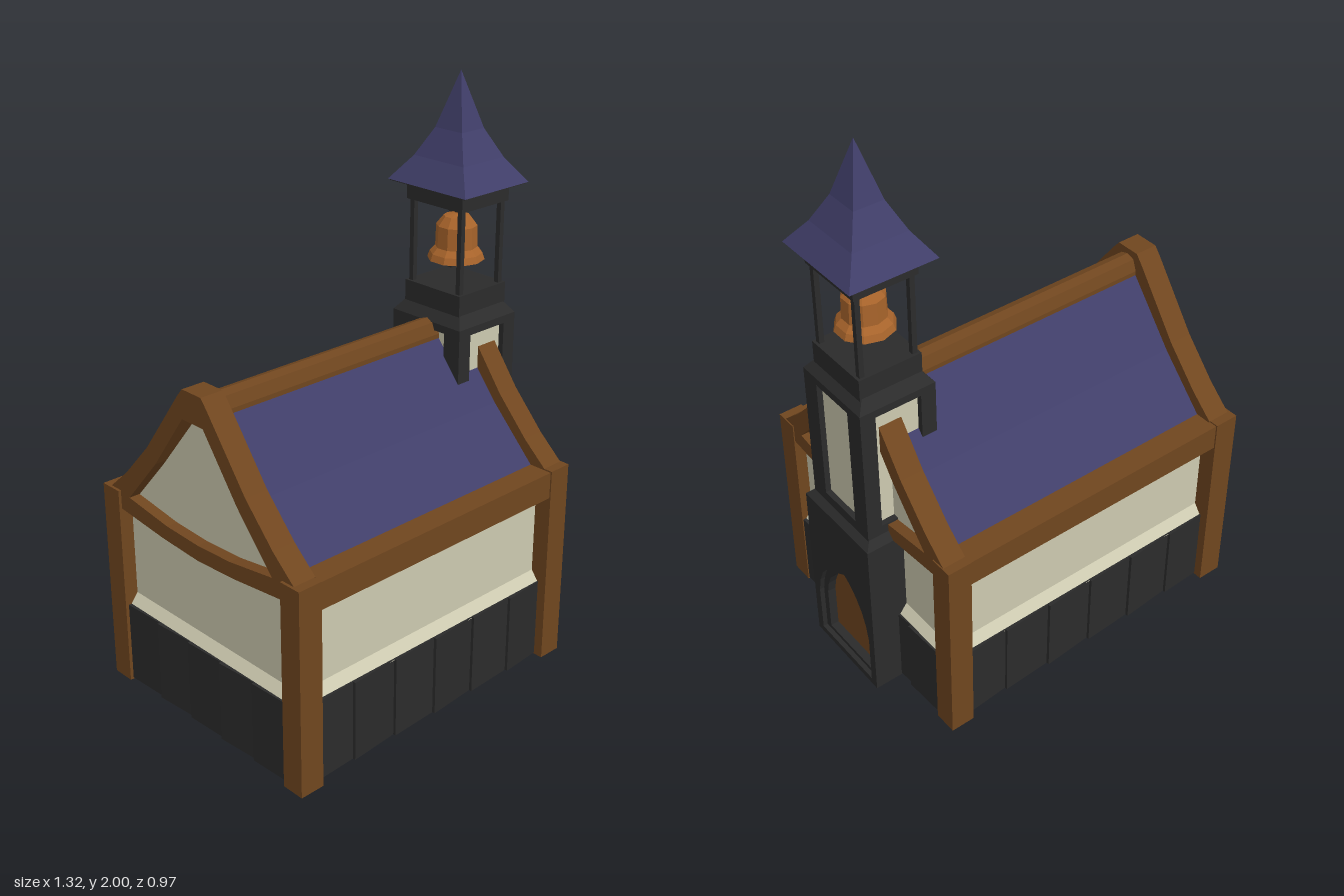
import * as THREE from 'three';

const material = (color) => new THREE.MeshStandardMaterial({ color, flatShading: true });
const timber = material(0x70461f);
const slate = material(0x403e69);
const stone = material(0x2b2b2b);
const plaster = material(0xcdcab0);
const bronze = material(0xa8642b);

export function createModel() {
  const model = new THREE.Group();

  function add(name, geometry, mat, parent = model) {
    const mesh = new THREE.Mesh(geometry, mat);
    mesh.name = name;
    parent.add(mesh);
    return mesh;
  }

  // Box given by its limits on each axis
  function box(name, mat, [x0, x1], [y0, y1], [z0, z1], parent) {
    const mesh = add(name, new THREE.BoxGeometry(x1 - x0, y1 - y0, z1 - z0), mat, parent);
    mesh.position.set((x0 + x1) / 2, (y0 + y1) / 2, (z0 + z1) / 2);
    return mesh;
  }

  // Box whose top is drawn in by an inset on every side
  function taper(name, mat, xs, ys, zs, inset, parent) {
    const mesh = box(name, mat, xs, ys, zs, parent);
    const p = mesh.geometry.attributes.position;
    for (let i = 0; i < p.count; i++) {
      if (p.getY(i) < 0) continue;
      p.setX(i, p.getX(i) - Math.sign(p.getX(i)) * inset);
      p.setZ(i, p.getZ(i) - Math.sign(p.getZ(i)) * inset);
    }
    mesh.geometry.computeVertexNormals();
    return mesh;
  }

  // Mirrored half outline (z, y), listed from bottom centre to top centre
  function mirrored(half) {
    const other = half.filter(([z]) => z > 0).reverse().map(([z, y]) => [-z, y]);
    return [...half, ...other].map(([z, y]) => new THREE.Vector2(z, y));
  }

  // Cross-section in z and y, swept from x0 to x1
  function sweep(name, mat, shape, x0, x1, parent) {
    const g = new THREE.ExtrudeGeometry(shape, { depth: x1 - x0, bevelEnabled: false, curveSegments: 5 });
    g.rotateY(Math.PI / 2).translate(x0, 0, 0);
    return add(name, g, mat, parent);
  }

  // Plastered body with a floor
  const body = [[0, 0.004], [0.42, 0.004], [0.42, 0.66], [0.37, 0.7], [0.21, 0.88], [0.03, 1.1], [0, 1.1]];
  sweep('walls', plaster, new THREE.Shape(mirrored(body)), -0.61, 0.52);
  taper('wallLedge', plaster, [-0.64, 0.55], [0.29, 0.33], [-0.45, 0.45], 0.03);

  // Roof with a slight flare, and ridge beam
  const roof = [[0, 0.68], [0.4, 0.68], [0.4, 0.715], [0.22, 0.9], [0.04, 1.12], [0, 1.13]];
  sweep('roof', slate, new THREE.Shape(mirrored(roof)), -0.58, 0.5);
  const ridge = [[0, 1.08], [0.045, 1.08], [0.045, 1.13], [0.03, 1.17], [0, 1.18]];
  sweep('ridgeBeam', timber, new THREE.Shape(mirrored(ridge)), -0.6, 0.5);

  // Gable frames: curved rafters joined by a sagging tie beam
  const rafters = [[0, 0.63], [0.18, 0.64], [0.42, 0.665], [0.45, 0.73], [0.36, 0.81], [0.24, 0.94], [0.07, 1.17], [0.045, 1.2], [0, 1.2]];
  const opening = [[0, 0.685], [0.156, 0.692], [0.353, 0.72], [0.2, 0.895], [0.05, 1.1], [0, 1.1]];
  for (const [x0, x1] of [[-0.65, -0.565], [0.475, 0.558]]) {
    const frame = new THREE.Shape(mirrored(rafters));
    frame.holes.push(new THREE.Path(mirrored(opening)));
    sweep('gableFrame', timber, frame, x0, x1);
  }

  // Corner posts and eaves beams
  for (const s of [-1, 1]) {
    const zs = s > 0 ? [0.4, 0.483] : [-0.483, -0.4];
    box('cornerPost', timber, [-0.66, -0.57], [0, 0.73], zs);
    box('cornerPost', timber, [0.475, 0.562], [0, 0.73], zs);
    box('eavesBeam', timber, [-0.6, 0.5], [0.63, 0.725], s > 0 ? [0.39, 0.478] : [-0.478, -0.39]);
  }

  // Stone slabs along the foot of the walls, each turned slightly
  function slabs(cuts, turn, place) {
    for (let i = 0; i + 1 < cuts.length; i++) {
      const slab = add('stoneSlab', new THREE.BoxGeometry(cuts[i + 1] - cuts[i], 0.29, 0.06), stone);
      place(slab, (cuts[i] + cuts[i + 1]) / 2);
      slab.rotation.y += turn * (i % 2 ? 0.07 : 0.04);
    }
  }
  const longCuts = [-0.58, -0.415, -0.23, -0.05, 0.135, 0.315, 0.48];
  const endCuts = [-0.405, -0.24, -0.08, 0.08, 0.24, 0.405];
  for (const s of [-1, 1]) {
    slabs(longCuts, 1, (m, c) => m.position.set(c, 0.15, s * 0.425));
    slabs(endCuts, 1, (m, c) => {
      m.position.set(s < 0 ? -0.615 : 0.525, 0.15, c);
      m.rotation.y = Math.PI / 2;
    });
  }

  // Bell tower
  const tower = new THREE.Group();
  tower.name = 'bellTower';
  model.add(tower);

  // Pointed arch outline standing on y0
  function arch(path, half, y0, spring, peak) {
    path.moveTo(-half, y0);
    path.lineTo(half, y0);
    path.lineTo(half, spring);
    path.quadraticCurveTo(half * 0.88, spring + (peak - spring) * 0.7, 0, peak);
    path.quadraticCurveTo(-half * 0.88, spring + (peak - spring) * 0.7, -half, spring);
    path.lineTo(-half, y0);
    return path;
  }

  // Tower base, with a stepped doorway on its outer face
  box('towerBase', stone, [0.35, 0.6], [0, 0.64], [-0.18, 0.18], tower);
  function doorwayLayer(half, y0, peak, x0, x1) {
    const face = new THREE.Shape(mirrored([[0, 0], [0.18, 0], [0.18, 0.64], [0, 0.64]]));
    face.holes.push(arch(new THREE.Path(), half, y0, 0.21, peak));
    sweep('doorSurround', stone, face, x0, x1, tower);
  }
  doorwayLayer(0.125, 0.04, 0.39, 0.6, 0.64);
  doorwayLayer(0.15, 0.025, 0.435, 0.64, 0.657);
  sweep('door', timber, arch(new THREE.Shape(), 0.128, 0.035, 0.21, 0.395), 0.595, 0.61, tower);
  taper('baseCap', stone, [0.35, 0.657], [0.64, 0.665], [-0.18, 0.18], 0.024, tower);

  // Upper stage: stone frame around plaster panels
  box('towerPanels', plaster, [0.375, 0.615], [0.65, 1.16], [-0.135, 0.135], tower);
  for (const z of [[-0.155, -0.085], [0.085, 0.155]]) {
    box('towerPost', stone, [0.357, 0.412], [0.65, 1.17], z, tower);
    box('towerPost', stone, [0.58, 0.635], [0.65, 1.17], z, tower);
  }
  box('towerSill', stone, [0.357, 0.635], [0.65, 0.7], [-0.155, 0.155], tower);
  box('towerHead', stone, [0.357, 0.635], [1.145, 1.172], [-0.155, 0.155], tower);
  taper('towerShoulder', stone, [0.357, 0.635], [1.172, 1.21], [-0.155, 0.155], 0.029, tower);
  box('belfryFloor', stone, [0.384, 0.612], [1.2, 1.28], [-0.126, 0.126], tower);

  // Open belfry
  for (const x of [0.402, 0.594]) {
    for (const z of [-0.108, 0.108]) {
      box('belfryPost', stone, [x - 0.009, x + 0.009], [1.27, 1.58], [z - 0.009, z + 0.009], tower);
    }
  }
  box('belfryHead', stone, [0.384, 0.612], [1.567, 1.633], [-0.126, 0.126], tower);

  // Flared four-sided spire over a stone soffit
  const lathe = (points, sides) => new THREE.LatheGeometry(points.map(([r, y]) => new THREE.Vector2(r, y)), sides);
  const spireLine = [[0.155, 1.632], [0.098, 1.715], [0.053, 1.81], [0, 2]];
  const spire = lathe(spireLine.map(([r, y]) => [r * Math.SQRT2, y]), 4);
  spire.rotateY(Math.PI / 4).scale(1, 1, 1.13);
  add('spire', spire, slate, tower).position.x = 0.498;
  box('spireSoffit', stone, [0.347, 0.649], [1.628, 1.634], [-0.17, 0.17], tower);

  // Hanging bell
  const bellLine = [[0, 1.42], [0.055, 1.4], [0.085, 1.36], [0.098, 1.362], [0.09, 1.385], [0.072, 1.405], [0.07, 1.48], [0.045, 1.512], [0, 1.52]];
  add('bell', lathe(bellLine, 10), bronze, tower).position.x = 0.498;
  const rod = add('bellRod', new THREE.CylinderGeometry(0.006, 0.006, 0.07, 6), bronze, tower);
  rod.position.set(0.498, 1.545, 0);

  return model;
}
